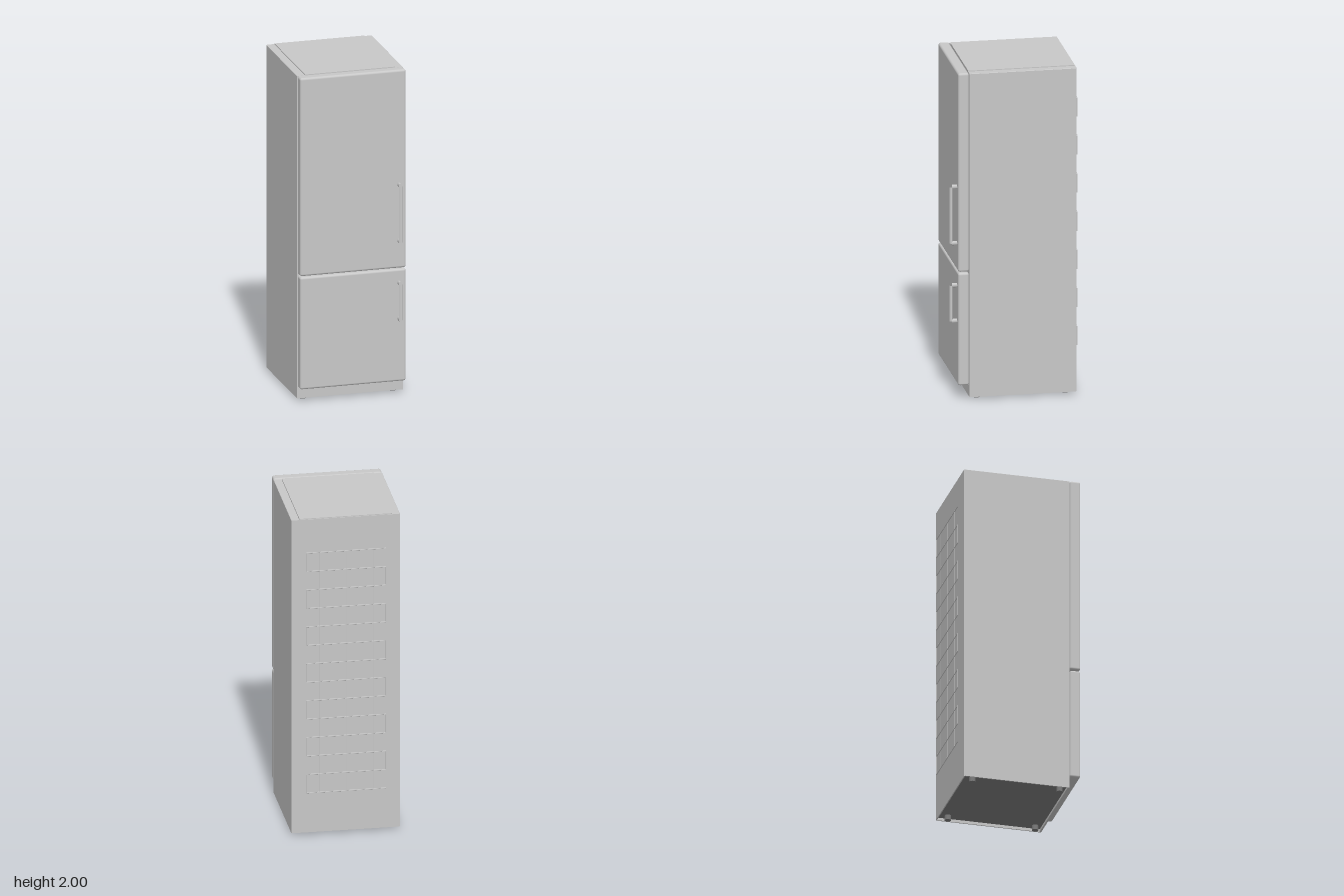
import * as THREE from 'three';
import { RoundedBoxGeometry } from 'three/addons/geometries/RoundedBoxGeometry.js';

export function createModel() {
  const fridge = new THREE.Group();
  fridge.name = 'fridge';
  const material = (name, color) => {
    const result = new THREE.MeshStandardMaterial({ color });
    result.name = name;
    return result;
  };
  const grey = material('lightGrey', 0xc8c8c8);
  const dark = material('darkGrey', 0x7c7c7c);

  const add = (name, geometry, x = 0, y = 0, z = 0, mat = grey, parent = fridge) => {
    const mesh = new THREE.Mesh(geometry, mat);
    mesh.name = name;
    mesh.position.set(x, y, z);
    parent.add(mesh);
  };
  // Box given by its limits on each axis
  const box = (name, [x0, x1], [y0, y1], [z0, z1], mat = grey) =>
    add(name, new THREE.BoxGeometry(x1 - x0, y1 - y0, z1 - z0),
      (x0 + x1) / 2, (y0 + y1) / 2, (z0 + z1) / 2, mat);

  // Side walls: thick panel with a thin skirt below the recessed floor
  const profile = [[0.275, 0.034], [0.316, 0.034], [0.316, 0.013], [0.323, 0.013],
    [0.323, 1.993], [0.321, 1.995], [0.275, 1.995]];
  for (const side of [1, -1]) {
    const shape = new THREE.Shape(profile.map(([x, y]) => new THREE.Vector2(side * x, y)));
    const wall = new THREE.ExtrudeGeometry(shape, { depth: 0.636, bevelEnabled: false });
    add(side > 0 ? 'leftWall' : 'rightWall', wall, 0, 0, -0.362);
  }

  // Cabinet slightly taller than the walls, back panel and front plinth
  box('cabinet', [-0.274, 0.274], [0.034, 2], [-0.361, 0.273]);
  box('backPanel', [-0.319, 0.319], [0.013, 1.995], [-0.366, -0.36]);
  box('plinth', [-0.316, 0.316], [0.014, 0.08], [0.264, 0.2745]);

  // Recessed floor and feet
  box('floor', [-0.316, 0.316], [0.03, 0.036], [-0.36, 0.264], dark);
  for (const x of [-0.275, 0.275]) {
    for (const z of [0.225, -0.305]) {
      add('foot', new THREE.CylinderGeometry(0.019, 0.019, 0.032, 20), x, 0.016, z, dark);
    }
  }

  // Doors, each with a tubular handle on two mounts
  const door = (name, y0, y1, h0, h1) => {
    const group = new THREE.Group();
    group.name = name;
    fridge.add(group);
    add('doorPanel', new RoundedBoxGeometry(0.646, y1 - y0, 0.065, 4, 0.013),
      0, (y0 + y1) / 2, 0.3085, grey, group);
    // Eight-sided bar with a flat face to the front
    const bar = new THREE.CylinderGeometry(0.012, 0.012, h1 - h0, 8, 1, true).toNonIndexed();
    bar.rotateY(Math.PI / 8).scale(1, 1, 0.75).computeVertexNormals();
    add('handleBar', bar, 0.28, (h0 + h1) / 2, 0.377, grey, group);
    for (const y of [h0, h1]) {
      const mount = new THREE.CylinderGeometry(0.0095, 0.0095, 0.034, 12, 1, true);
      mount.rotateX(Math.PI / 2).scale(1, 1.4, 1);
      add('handleMount', mount, 0.28, y, 0.354, grey, group);
    }
  };
  door('upperDoor', 0.782, 1.999, 0.95, 1.295);
  door('lowerDoor', 0.086, 0.775, 0.473, 0.692);

  // Condenser coil: one serpentine pipe and three upright wires
  const points = [];
  const rows = 14, top = 1.79, bottom = 0.27;
  for (let i = 0; i < rows; i++) {
    const y = top - (i * (top - bottom)) / (rows - 1);
    const start = i % 2 ? 0.237 : -0.237;
    points.push(new THREE.Vector3(start, y, -0.383), new THREE.Vector3(-start, y, -0.383));
  }
  for (let i = 1; i < points.length; i++) {
    const segment = new THREE.LineCurve3(points[i - 1], points[i]);
    add('coilPipe', new THREE.TubeGeometry(segment, 1, 0.003, 8));
  }
  for (const x of [-0.16, 0, 0.16]) {
    add('coilWire', new THREE.CylinderGeometry(0.0015, 0.0015, top - bottom, 6),
      x, (top + bottom) / 2, -0.383);
  }
  return fridge;
}
